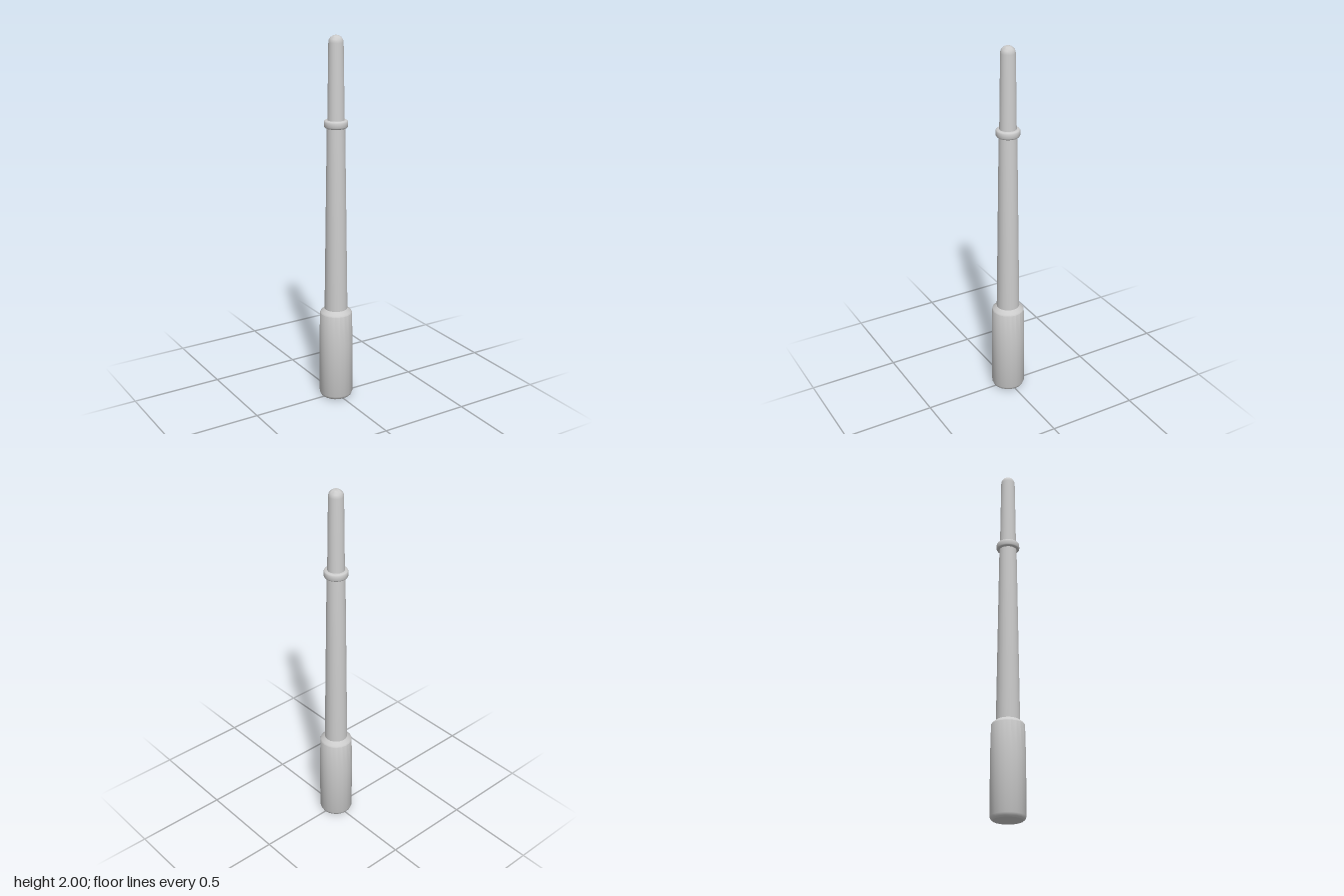
import * as THREE from 'three';
import { toCreasedNormals } from 'three/addons/utils/BufferGeometryUtils.js';

const material = new THREE.MeshStandardMaterial({ color: 0xcccccc });

// Revolve a bottom-to-top [radius, height] profile about the y axis
function turned(name, profile, segments = 20) {
  const points = profile.map(([r, y]) => new THREE.Vector2(r, y));
  const geometry = toCreasedNormals(new THREE.LatheGeometry(points, segments), 0.6);
  const mesh = new THREE.Mesh(geometry, material);
  mesh.name = name;
  return mesh;
}

export function createModel() {
  const model = new THREE.Group();
  model.name = 'taperedPole';

  // Thick base with chamfered foot and sloping shoulder
  model.add(turned('base', [
    [0, 0], [0.078, 0], [0.086, 0.006], [0.092, 0.02],
    [0.092, 0.32], [0.088, 0.495], [0.083, 0.503], [0.062, 0.52],
  ]));

  // Slender tapering shaft ending in a domed tip
  const shaft = [[0.063, 0.515], [0.048, 1.53], [0.045, 1.56], [0.039, 1.962]];
  for (let i = 1; i <= 6; i++) {
    const a = (i / 6) * Math.PI / 2;
    shaft.push([i === 6 ? 0 : 0.039 * Math.cos(a), 1.962 + 0.038 * Math.sin(a)]);
  }
  model.add(turned('shaft', shaft));

  // Collar with rounded rims
  model.add(turned('collar', [
    [0.044, 1.524], [0.055, 1.524], [0.060, 1.527], [0.063, 1.533],
    [0.063, 1.556], [0.060, 1.562], [0.055, 1.565], [0.044, 1.565],
  ], 32));

  return model;
}
